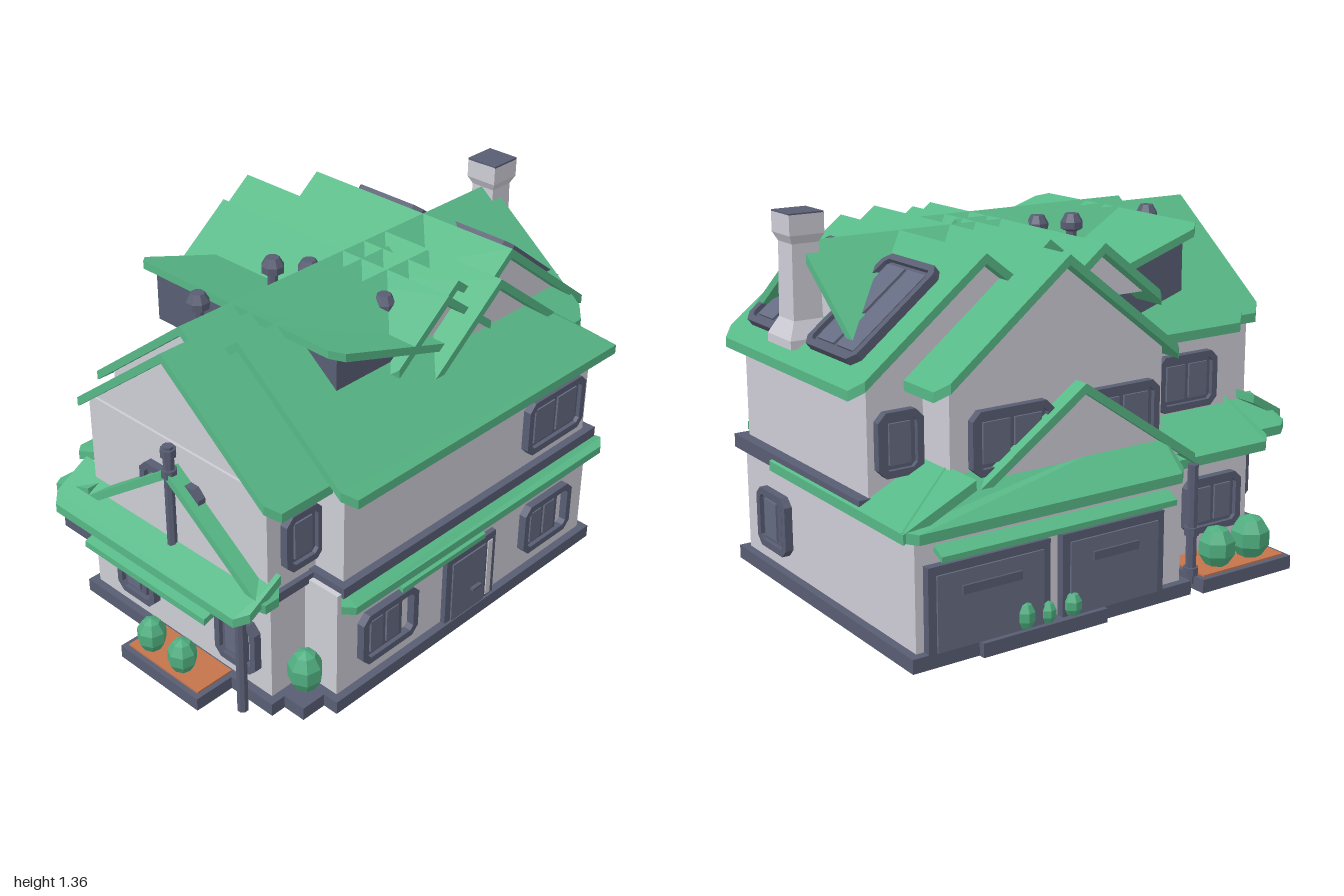
import * as THREE from 'three';

const mat = (name, color) => Object.assign(new THREE.MeshStandardMaterial({ color, flatShading: true }), { name });

export function createModel() {
  const house = new THREE.Group();
  house.name = 'house';
  const wall = mat('wall grey', 0xcdccd5), roof = mat('roof green', 0x57b886), dark = mat('slate trim', 0x585d72);
  const glass = mat('window slate', 0x646a80), soil = mat('soil', 0xc4744c), leaf = mat('leaf green', 0x4fae80);

  const add = (name, geo, m, parent = house) => {
    const mesh = new THREE.Mesh(geo, m);
    mesh.name = name;
    parent.add(mesh);
    return mesh;
  };
  // axis-aligned box given by its limits
  const block = (name, m, x0, x1, y0, y1, z0, z1) => {
    const b = add(name, new THREE.BoxGeometry(x1 - x0, y1 - y0, z1 - z0), m);
    b.position.set((x0 + x1) / 2, (y0 + y1) / 2, (z0 + z1) / 2);
    return b;
  };
  // plate with a flat convex outline, thickened straight down
  const slab = (name, pts, t = 0.035, m = roof) => {
    let n = 0;
    pts.forEach((p, i) => { const q = pts[(i + 1) % pts.length]; n += p[2] * q[0] - p[0] * q[2]; });
    const P = n < 0 ? [...pts].reverse() : pts, L = P.map(p => [p[0], p[1] - t, p[2]]), v = [];
    for (let i = 0; i < P.length; i++) {
      const j = (i + 1) % P.length;
      if (i > 0 && j > 0) v.push(...P[0], ...P[i], ...P[j], ...L[0], ...L[j], ...L[i]);
      v.push(...P[i], ...L[i], ...L[j], ...P[i], ...L[j], ...P[j]);
    }
    const g = new THREE.BufferGeometry();
    g.setAttribute('position', new THREE.Float32BufferAttribute(v, 3));
    g.computeVertexNormals();
    return add(name, g, m);
  };
  // gable roof: ridge along an axis at c, from a to b, with attic wall below
  const gable = (name, axis, c, half, a, b, { top = 1.25, k = 0.78, sides = [-1, 1], inset = 0.06 } = {}) => {
    const at = (s, t) => axis === 'x' ? [t, top - Math.abs(s) * k, c + s] : [c + s, top - Math.abs(s) * k, t];
    const q = Math.min(0.04, (b - a) / 5);
    for (const s of sides) {
      slab(name + 'Roof', [at(0, a), at(0, b), at(s * (half - q), b), at(s * half, b - q),
        at(s * half, a + q), at(s * (half - q), a)]);
    }
    const w = half - 0.05, y1 = top - 0.02;
    const shape = new THREE.Shape([[-w, y1 - w * k], [w, y1 - w * k], [0, y1]].map(p => new THREE.Vector2(...p)));
    const g = new THREE.ExtrudeGeometry(shape, { depth: b - a - 2 * inset, bevelEnabled: false });
    const m = add(name + 'Attic', g, wall);
    if (axis === 'x') { m.rotation.y = Math.PI / 2; m.position.set(a + inset, 0, c); } else m.position.set(c, 0, a + inset);
  };

  // storeys and plinths: x0, x1, z0, z1
  for (const [x0, x1, z0, z1] of [[-0.65, 0.71, 0, 0.72], [-0.16, 0.92, -0.72, 0.46],
    [-0.81, 0, -0.35, 0.57], [-0.62, -0.18, -0.55, 0]]) {
    block('groundWall', wall, x0, x1, 0.04, 0.47, z0, z1);
    block('plinth', dark, x0 - 0.03, x1 + 0.03, 0, 0.05, z0 - 0.03, z1 + 0.03);
  }
  for (const [x0, x1, z0, z1] of [[-0.6, 0.71, 0, 0.7], [-0.16, 0.71, -0.6, 0.1],
    [0.2, 0.92, -0.44, 0.43], [-0.82, 0, -0.31, 0.57], [-0.65, 0, -0.38, 0.4]]) {
    block('upperWall', wall, x0, x1, 0.44, 0.88, z0, z1);
  }
  block('sideBand', dark, 0.5, 0.96, 0.44, 0.49, -0.45, 0.47);
  block('frontBand', dark, -0.63, 0.75, 0.455, 0.495, 0.3, 0.73);
  block('westBand', dark, -0.84, -0.5, 0.455, 0.49, -0.33, 0.59);

  // main intersecting roofs
  gable('west', 'x', 0.15, 0.5, -0.87, 0.2);
  gable('long', 'x', 0.06, 0.5, -0.71, 0.88);
  gable('front', 'x', 0.27, 0.5, -0.65, 0.27, { sides: [-1] });
  slab('frontRoof', [[-0.65, 1.25, 0.27], [0.27, 1.25, 0.27], [0.77, 0.86, 0.77], [-0.61, 0.86, 0.77], [-0.65, 0.89, 0.73]]);
  gable('back', 'z', 0.28, 0.5, -0.66, 0.6);
  slab('hipRoof', [[0.6, 1.0, 0.6], [0.77, 0.86, 0.77], [0.77, 0.86, 0.5], [0.6, 1.0, 0.5]]);
  gable('east', 'z', 0.49, 0.5, -0.49, 0.48, { inset: 0.05 });
  gable('inner', 'z', 0.06, 0.28, -0.56, 0.55);
  gable('innerSmall', 'z', 0.17, 0.28, -0.4, 0.5);

  // tilted shed dormer
  slab('shedRoof', [[-0.48, 1.245, -0.39], [-0.44, 1.232, -0.43], [0.13, 1.045, -0.43], [0.13, 1.045, 0.55],
    [-0.44, 1.232, 0.55], [-0.48, 1.245, 0.51]], 0.03);
  slab('shedWall', [[-0.43, 1.2, -0.38], [0.05, 1.045, -0.38], [0.05, 1.045, 0.5], [-0.43, 1.2, 0.5]], 0.2, dark);

  // lower skirt roofs
  slab('frontSkirt', [[-0.61, 0.43, 0.77], [0.74, 0.43, 0.77], [0.78, 0.44, 0.74], [0.72, 0.475, 0.69], [-0.6, 0.475, 0.69], [-0.65, 0.44, 0.74]], 0.03);
  slab('eastSkirt', [[0.97, 0.465, -0.74], [0.97, 0.465, 0.17], [0.7, 0.59, 0.17], [0.7, 0.59, -0.74]]);
  slab('backSkirt', [[-0.16, 0.47, -0.73], [-0.12, 0.465, -0.77], [0.93, 0.465, -0.77], [0.97, 0.47, -0.73], [0.71, 0.59, -0.57], [-0.16, 0.59, -0.57]]);
  slab('baySkirt', [[-0.69, 0.46, -0.58], [-0.65, 0.45, -0.62], [-0.16, 0.45, -0.62], [-0.16, 0.56, -0.33], [-0.69, 0.56, -0.33]]);
  slab('cornerSkirt', [[-0.88, 0.46, -0.47], [-0.84, 0.45, -0.5], [-0.5, 0.45, -0.5], [-0.5, 0.53, -0.28], [-0.88, 0.53, -0.28]]);
  slab('westSkirt', [[-0.96, 0.46, -0.37], [-0.92, 0.48, -0.41], [-0.78, 0.56, -0.41], [-0.78, 0.56, 0.59], [-0.92, 0.48, 0.59], [-0.96, 0.46, 0.55]]);
  gable('backPorch', 'z', 0.21, 0.5, -0.66, -0.56, { top: 0.81, k: 0.68, inset: 0.025 });
  gable('westPorch', 'x', 0.15, 0.45, -0.88, -0.78, { top: 0.81, k: 0.72, inset: 0.025 });
  // awnings
  slab('doorAwning', [[-0.38, 0.38, 0.77], [0.06, 0.38, 0.77], [0.06, 0.405, 0.71], [-0.38, 0.405, 0.71]], 0.02);
  slab('westAwning', [[-0.97, 0.39, -0.2], [-0.97, 0.39, 0.42], [-0.8, 0.44, 0.42], [-0.8, 0.44, -0.2]], 0.025);
  slab('garageAwning', [[-0.1, 0.375, -0.77], [0.85, 0.375, -0.77], [0.85, 0.41, -0.7], [-0.1, 0.41, -0.7]], 0.02);

  // outline with clipped corners
  const clipped = (T, w, h, c) => {
    const p = [[-w, c - h], [c - w, -h], [w - c, -h], [w, c - h], [w, h - c], [w - c, h], [c - w, h], [-w, h - c]];
    return new T(p.map(q => new THREE.Vector2(...q)));
  };
  // framed window facing +z before turning; a gap leaves one side of the frame open
  const windowAt = (name, x, y, z, w, h, turn = 0, panes = 2, gap = 0) => {
    const g = new THREE.Group();
    g.name = name;
    const frame = clipped(THREE.Shape, w / 2, h / 2, 0.03);
    frame.holes.push(clipped(THREE.Path, w / 2 - 0.025, h / 2 - 0.025, 0.015));
    add('frame', new THREE.ExtrudeGeometry(frame, { depth: 0.03, bevelEnabled: false }), dark, g);
    const iw = w - 0.04 - gap, ih = h - 0.04;
    const sash = add('sash', new THREE.BoxGeometry(iw, ih, 0.014), dark, g);
    sash.position.set(-gap / 2, 0, 0.007);
    const pw = (iw - 0.03) / panes;
    for (let i = 0; i < panes; i++) {
      const pane = add('pane', new THREE.BoxGeometry(pw - 0.02, ih - 0.04, 0.008), glass, g);
      pane.position.set(-gap / 2 + (i - (panes - 1) / 2) * pw, 0, 0.018);
    }
    g.rotation.y = turn;
    g.position.set(x, y, z);
    house.add(g);
    return g;
  };
  const E = Math.PI / 2, N = Math.PI, W = -Math.PI / 2;
  windowAt('frontWindow', -0.41, 0.225, 0.72, 0.28, 0.21, 0, 2, 0.05);
  windowAt('frontWindow', 0.465, 0.225, 0.72, 0.28, 0.21, 0, 2, 0.05);
  windowAt('upperFrontWindow', 0.495, 0.66, 0.7, 0.33, 0.22);
  windowAt('westFrontWindow', -0.675, 0.66, 0.57, 0.17, 0.22, 0, 1);
  windowAt('eastWindow', 0.92, 0.22, 0.22, 0.22, 0.22, E, 1, 0.04);
  windowAt('upperBackWindow', 0.48, 0.66, -0.6, 0.32, 0.22, N);
  windowAt('upperBackWindow', 0.03, 0.66, -0.6, 0.32, 0.22, N);
  windowAt('eastBackWindow', 0.81, 0.66, -0.44, 0.17, 0.22, N, 1);
  windowAt('bayWindow', -0.44, 0.24, -0.55, 0.26, 0.21, N);
  windowAt('recessWindow', -0.45, 0.66, -0.38, 0.28, 0.21, N);
  windowAt('cornerWindow', -0.72, 0.24, -0.35, 0.15, 0.21, N, 1);
  windowAt('westWindow', -0.81, 0.22, -0.1, 0.2, 0.21, W, 1, 0.04);
  windowAt('westWindow', -0.81, 0.22, 0.42, 0.2, 0.21, W, 1, 0.04);
  windowAt('upperWestWindow', -0.82, 0.66, 0.13, 0.3, 0.21, W);
  for (const z of [-0.22, 0.22]) {
    const s = windowAt('skylight', 0.755, 1.045, z, 0.33, 0.43, E);
    s.rotation.order = 'YXZ';
    s.rotation.x = -Math.atan2(0.5, 0.39);
  }

  // front door and garage doors
  block('doorFrame', dark, -0.11, 0.16, 0.04, 0.33, 0.7, 0.74);
  block('doorLeaf', glass, -0.08, 0.1, 0.05, 0.3, 0.739, 0.746);
  block('doorSidelight', wall, 0.115, 0.14, 0.06, 0.3, 0.739, 0.744);
  block('doorHandle', dark, 0.02, 0.07, 0.135, 0.145, 0.745, 0.76);
  for (const [x0, x1] of [[0.42, 0.89], [-0.06, 0.37]]) {
    block('garageFrame', dark, x0, x1, 0.04, 0.34, -0.75, -0.7);
    block('garageDoor', glass, x0 + 0.03, x1 - 0.03, 0.05, 0.31, -0.757, -0.749);
    block('garageVent', dark, x0 + 0.12, x1 - 0.12, 0.23, 0.26, -0.765, -0.755);
  }

  // planters with soil and bushes
  const planter = (x0, x1, z0, z1) => {
    block('planter', dark, x0, x1, 0, 0.05, z0, z1);
    block('soil', soil, x0 + 0.02, x1 - 0.02, 0.045, 0.057, z0 + 0.02, z1 - 0.02);
  };
  planter(-0.65, -0.23, -0.77, -0.52);
  planter(-1, -0.8, 0, 0.4);
  block('planter', dark, 0.2, 0.7, 0, 0.05, -0.775, -0.72);
  block('planter', dark, -0.78, -0.6, 0, 0.05, 0.5, 0.69);
  for (const [x, z, r, h] of [[-0.52, -0.69, 0.075, 0.17], [-0.36, -0.69, 0.07, 0.16], [-0.93, 0.09, 0.055, 0.14],
    [-0.93, 0.25, 0.055, 0.14], [-0.7, 0.62, 0.065, 0.17], [0.52, -0.75, 0.035, 0.1], [0.43, -0.75, 0.03, 0.08], [0.33, -0.75, 0.035, 0.09]]) {
    const b = add('bush', new THREE.SphereGeometry(1, 7, 5), leaf);
    b.scale.set(r, h / 2, r);
    b.position.set(x, 0.045 + h / 2, z);
  }

  // turned parts: list of radius, height pairs
  const turned = (name, m, pts, sides, x, y, z) => {
    const t = add(name, new THREE.LatheGeometry(pts.map(p => new THREE.Vector2(...p)), sides, Math.PI / sides), m);
    t.position.set(x, y, z);
  };
  const R = Math.SQRT2;
  turned('chimney', wall, [[0.085 * R, 0.9], [0.085 * R, 0.93], [0.055 * R, 0.99], [0.05 * R, 1.25], [0.065 * R, 1.28], [0.065 * R, 1.35], [0, 1.35]], 4, 0.88, 0, 0.065);
  block('chimneyCap', dark, 0.815, 0.945, 1.348, 1.355, 0, 0.13);
  for (const [x, z, y] of [[-0.53, -0.05, 1.13], [-0.17, -0.06, 1.13], [-0.08, 0.03, 1.12], [-0.03, 0.34, 1.08]]) {
    turned('roofVent', dark, [[0.02, 0], [0.02, 0.07], [0.042, 0.08], [0.042, 0.105], [0.025, 0.135], [0, 0.135]], 8, x, y, z);
  }
  const pipe = (x, z, y0, y1, rings) => {
    turned('drainPipe', dark, [[0, y0], [0.02, y0], [0.02, y1], [0, y1]], 8, x, 0, z);
    for (const y of rings) turned('pipeRing', dark, [[0, y], [0.028, y], [0.028, y + 0.03], [0, y + 0.03]], 8, x, 0, z);
  };
  pipe(0.85, 0.485, 0.02, 0.88, [0.08, 0.43, 0.75]);
  pipe(-0.86, 0.15, 0.5, 0.9, [0.78, 0.86]);
  pipe(-0.23, -0.7, 0.02, 0.46, [0.05, 0.2]);
  pipe(-0.9, 0.52, 0.02, 0.47, [0.4]);
  return house;
}
